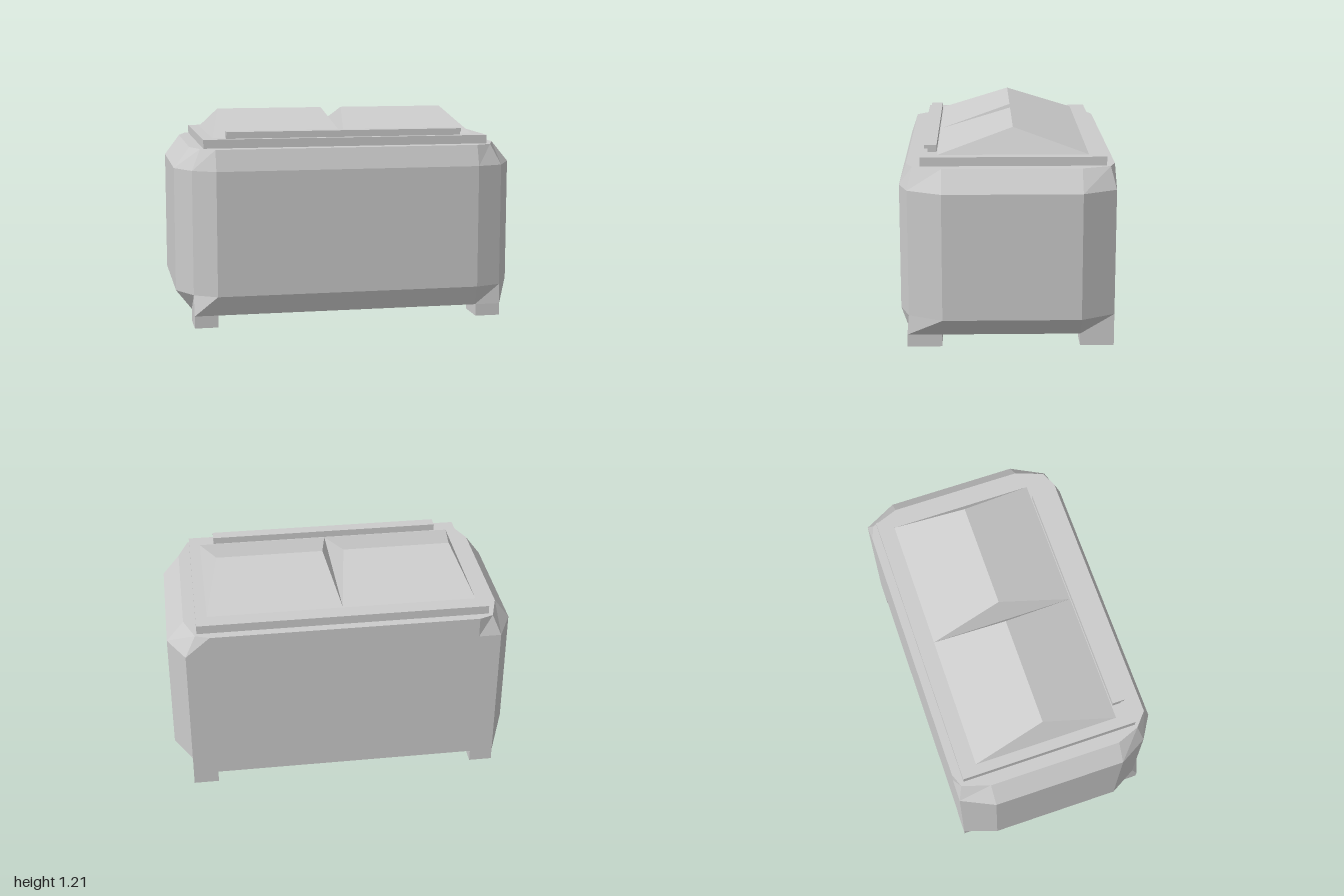
import * as THREE from 'three';
import { ConvexGeometry } from 'three/addons/geometries/ConvexGeometry.js';

const material = new THREE.MeshStandardMaterial({ color: 0xcccccc, flatShading: true });

function addMesh(parent, name, geometry) {
  const mesh = new THREE.Mesh(geometry, material);
  mesh.name = name;
  parent.add(mesh);
  return mesh;
}

// Box given by its lower and upper limits on each axis
function addBox(parent, name, [x0, x1], [y0, y1], [z0, z1]) {
  const box = addMesh(parent, name, new THREE.BoxGeometry(x1 - x0, y1 - y0, z1 - z0));
  box.position.set((x0 + x1) / 2, (y0 + y1) / 2, (z0 + z1) / 2);
}

// Flat-shaded closed solid joining rings of [x, z] points, counter-clockwise from above
function loft(rings) {
  const pos = [];
  const n = rings[0].points.length;
  const at = (r, i) => {
    const [x, z] = rings[r].points[i % n];
    return [x, rings[r].y, z];
  };
  const tri = (a, b, c) => pos.push(...a, ...b, ...c);
  for (let r = 0; r < rings.length - 1; r++) {
    for (let i = 0; i < n; i++) {
      tri(at(r, i), at(r, i + 1), at(r + 1, i + 1));
      tri(at(r, i), at(r + 1, i + 1), at(r + 1, i));
    }
  }
  const last = rings.length - 1;
  for (let i = 1; i < n - 1; i++) {
    tri(at(0, 0), at(0, i + 1), at(0, i));
    tri(at(last, 0), at(last, i), at(last, i + 1));
  }
  const geometry = new THREE.BufferGeometry();
  geometry.setAttribute('position', new THREE.Float32BufferAttribute(pos, 3));
  geometry.computeVertexNormals();
  return geometry;
}

export function createModel() {
  const model = new THREE.Group();
  model.name = 'chest';

  // Body: square foot, wide chamfered middle, narrower chamfered top
  const foot = [
    [0.75, 0.56], [0.9, 0.56], [0.9, 0.36], [0.9, -0.41], [0.9, -0.6], [0.76, -0.6],
    [-0.78, -0.6], [-0.91, -0.6], [-0.91, -0.41], [-0.91, 0.36], [-0.91, 0.56], [-0.78, 0.56],
  ];
  const middle = [
    [0.75, 0.6], [0.9, 0.55], [1, 0.36], [1, -0.41], [0.9, -0.6], [0.76, -0.6],
    [-0.78, -0.6], [-0.91, -0.6], [-1, -0.41], [-1, 0.36], [-0.91, 0.52], [-0.78, 0.6],
  ];
  const top = [
    [0.75, 0.56], [0.84, 0.52], [0.9, 0.36], [0.9, -0.41], [0.84, -0.57], [0.76, -0.6],
    [-0.78, -0.6], [-0.86, -0.57], [-0.91, -0.41], [-0.91, 0.36], [-0.86, 0.49], [-0.78, 0.56],
  ];
  addMesh(model, 'body', loft([
    { y: 0.07, points: foot },
    { y: 0.185, points: middle },
    { y: 0.9, points: middle },
    { y: 1.02, points: top },
  ]));

  // Four corner legs
  for (const [side, x] of [['Left', [0.755, 0.9]], ['Right', [-0.91, -0.775]]]) {
    addBox(model, `front${side}Leg`, x, [0, 0.07], [0.365, 0.56]);
    addBox(model, `back${side}Leg`, x, [0, 0.07], [-0.6, -0.41]);
  }

  // Lid slab
  addBox(model, 'lid', [-0.84, 0.83], [1.02, 1.07], [-0.55, 0.48]);

  // Two hipped roof panels meeting in a V groove
  const addHump = (name, base, ridge) => {
    const points = ridge.map((x) => new THREE.Vector3(x, 1.21, -0.035));
    for (const x of base) {
      for (const z of [-0.455, 0.385]) points.push(new THREE.Vector3(x, 1.07, z));
    }
    addMesh(model, name, new ConvexGeometry(points));
  };
  addHump('rightLidPanel', [-0.78, -0.01], [-0.705, -0.07]);
  addHump('leftLidPanel', [-0.01, 0.765], [0.055, 0.68]);

  // Front handle: stem with an overhanging grip
  addBox(model, 'handleStem', [-0.705, 0.68], [1.07, 1.09], [0.39, 0.44]);
  addBox(model, 'handleGrip', [-0.705, 0.68], [1.09, 1.11], [0.39, 0.46]);

  return model;
}
